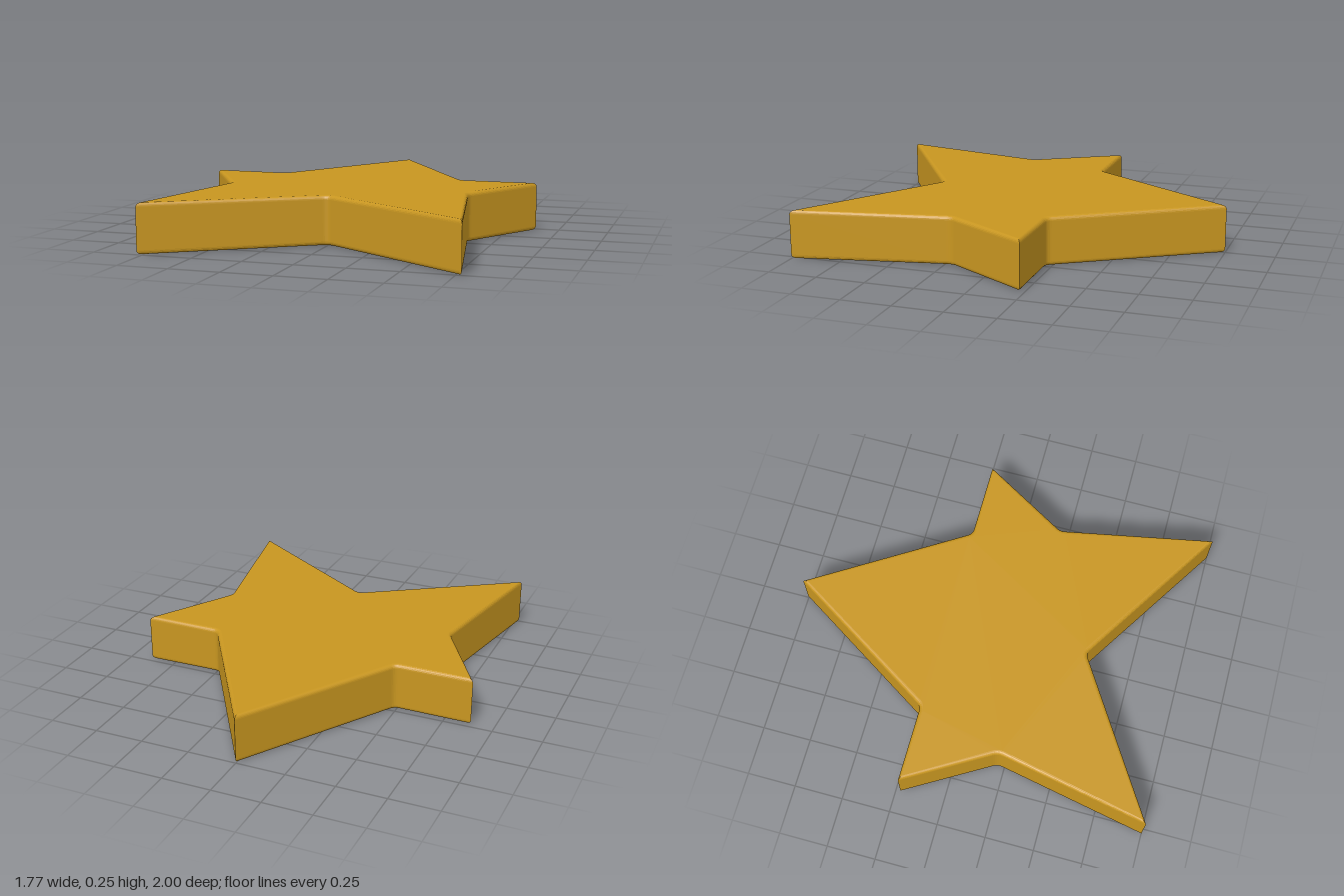
import * as THREE from 'three';

const HEIGHT = 0.245, BEVEL = 0.02, NOTCH = 0.025;

// Star outline: sharp tips, slightly rounded inner notches
function starShape() {
  const half = [[0, -1], [0.49, -0.225], [0.885, -0.225], [0.625, 0.215], [0.777, 1], [0, 0.51]];
  const mirrored = half.slice(1, 5).reverse().map(([x, z]) => [-x, z]);
  const pts = [...half, ...mirrored].map(([x, z]) => new THREE.Vector2(x, z));
  const toward = (a, b) => b.clone().sub(a).setLength(NOTCH).add(a);
  const shape = new THREE.Shape();
  shape.moveTo(pts[0].x, pts[0].y);
  for (let i = 1; i < pts.length; i++) {
    const p = pts[i];
    if (i % 2 === 0) {
      shape.lineTo(p.x, p.y);
      continue;
    }
    const a = toward(p, pts[i - 1]);
    const b = toward(p, pts[(i + 1) % pts.length]);
    shape.lineTo(a.x, a.y);
    shape.quadraticCurveTo(p.x, p.y, b.x, b.y);
  }
  shape.closePath();
  return shape;
}

export function createModel() {
  const group = new THREE.Group();
  group.name = 'star';

  // Thick slab with softly rounded rims, laid flat
  const geometry = new THREE.ExtrudeGeometry(starShape(), {
    depth: HEIGHT - 2 * BEVEL,
    bevelEnabled: true,
    bevelThickness: BEVEL,
    bevelSize: BEVEL,
    bevelOffset: -BEVEL,
    bevelSegments: 5,
    curveSegments: 5,
  });
  geometry.rotateX(Math.PI / 2);
  geometry.translate(0, HEIGHT - BEVEL, 0);

  const body = new THREE.Mesh(geometry, new THREE.MeshStandardMaterial({ color: 0xc89620 }));
  body.name = 'starBody';
  group.add(body);
  return group;
}
